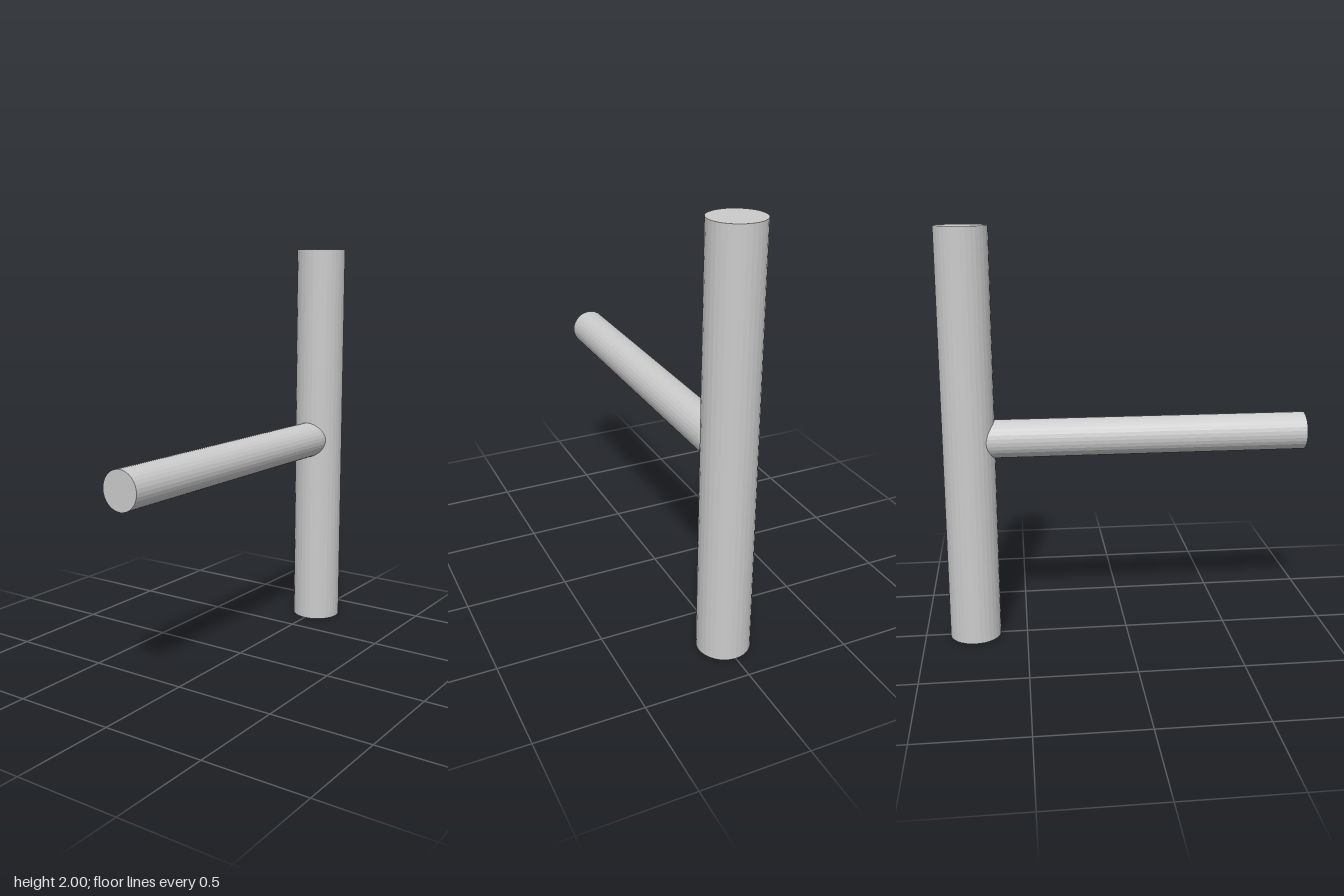
import * as THREE from 'three';

const POST_RADIUS = 0.125;
const POST_Z = -0.755;
const ARM_RADIUS = 0.092;
const ARM_FRONT_Z = 0.88;

export function createModel() {
  const group = new THREE.Group();
  const material = new THREE.MeshStandardMaterial({ color: 0xcccccc, flatShading: true });

  const addRod = (name, radius, length) => {
    const mesh = new THREE.Mesh(new THREE.CylinderGeometry(radius, radius, length, 32), material);
    mesh.name = name;
    group.add(mesh);
    return mesh;
  };

  // Upright post at the back
  addRod('post', POST_RADIUS, 2).position.set(0, 1, POST_Z);

  // Horizontal arm running forward from the post's axis
  const arm = addRod('arm', ARM_RADIUS, ARM_FRONT_Z - POST_Z);
  arm.rotation.x = Math.PI / 2;
  arm.position.set(0, 1, (ARM_FRONT_Z + POST_Z) / 2);

  return group;
}
